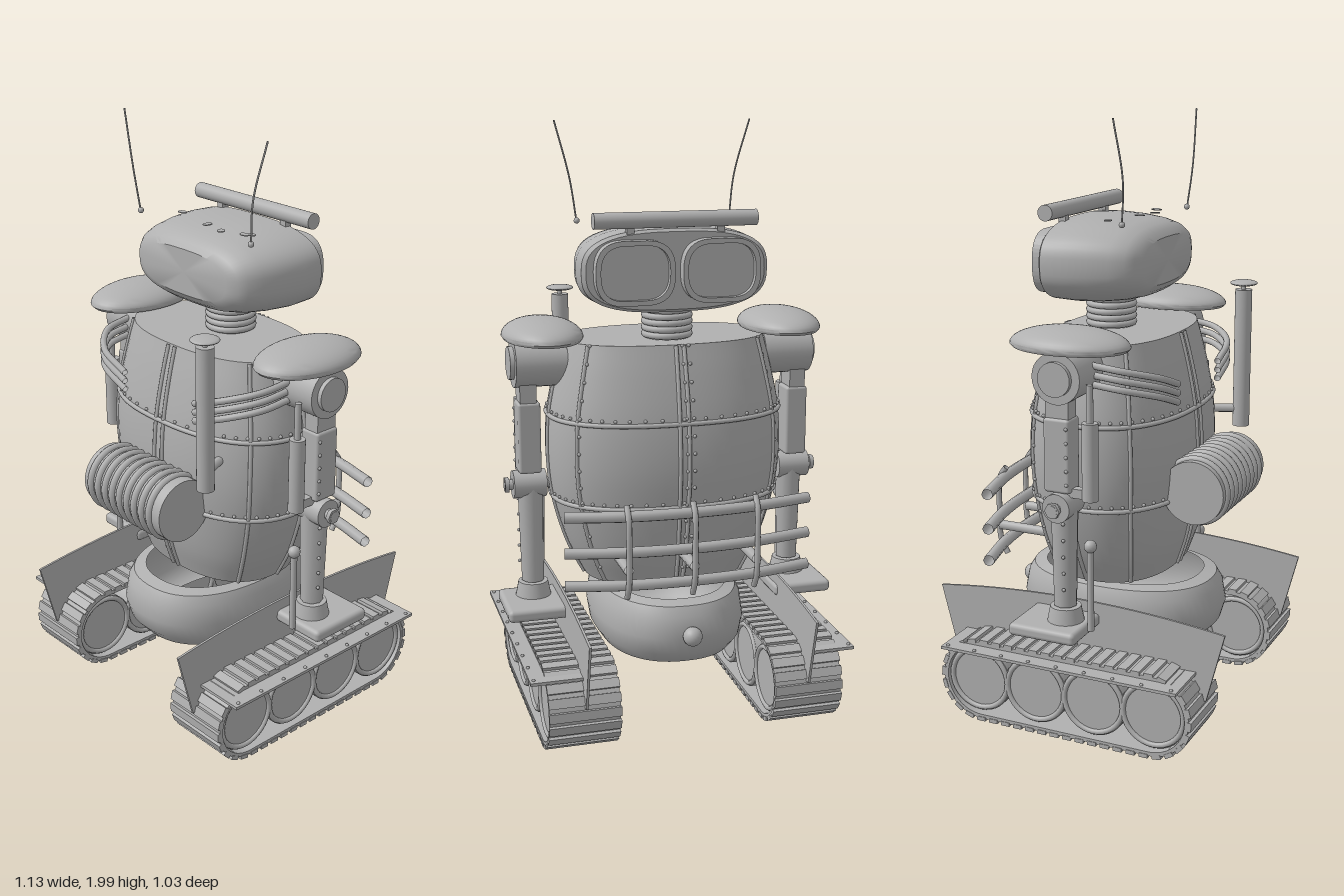
import * as THREE from 'three';
import { toCreasedNormals, mergeGeometries } from 'three/addons/utils/BufferGeometryUtils.js';
import { RoundedBoxGeometry } from 'three/addons/geometries/RoundedBoxGeometry.js';

const V = (x, y, z) => new THREE.Vector3(x, y, z);
const power = (c, n) => Math.sign(c) * Math.abs(c) ** (2 / n);

// Skin through superellipse sections [w, a, b]; put(u, v, w) places each point
function loft(sections, n, put, capped = true, seg = 56) {
  const pos = [], index = [];
  for (const [w, a, b] of sections)
    for (let j = 0; j < seg; j++) {
      const t = (j / seg) * Math.PI * 2;
      pos.push(...put(a * power(Math.cos(t), n), b * power(Math.sin(t), n), w));
    }
  const last = sections.length - 1, c0 = sections.length * seg;
  pos.push(...put(0, 0, sections[0][0]), ...put(0, 0, sections[last][0]));
  for (let j = 0; j < seg; j++) {
    const k = (j + 1) % seg;
    for (let i = 0; i < last; i++) {
      const a = i * seg + j, b = i * seg + k;
      index.push(a, b, a + seg, b, b + seg, a + seg);
    }
    if (capped) index.push(c0, k, j, c0 + 1, last * seg + j, last * seg + k);
  }
  const g = new THREE.BufferGeometry();
  g.setAttribute('position', new THREE.Float32BufferAttribute(pos, 3));
  g.setIndex(index);
  return toCreasedNormals(g, 0.6);
}

export function createModel() {
  const root = new THREE.Group();
  root.name = 'trackedRobot';
  const metal = new THREE.MeshStandardMaterial({ color: 0xb0b0b0, side: THREE.DoubleSide });
  metal.name = 'grey metal';

  const add = (name, geo, x = 0, y = 0, z = 0, parent = root) => {
    const m = new THREE.Mesh(geo, metal);
    m.name = name;
    m.position.set(x, y, z);
    parent.add(m);
    return m;
  };
  const box = (w, h, d) => new THREE.BoxGeometry(w, h, d);
  const cyl = (r1, r2, h, s = 24) => new THREE.CylinderGeometry(r1, r2, h, s);
  const cylX = (r, w, s = 28) => cyl(r, r, w, s).rotateZ(Math.PI / 2);
  const tube = (pts, r, closed = false, seg = 32) =>
    new THREE.TubeGeometry(new THREE.CatmullRomCurve3(pts, closed), seg, r, 8, closed);
  const rod = (a, b, r) => tube([a, b], r, false, 1);

  // Barrel body: profile points are (height, half depth, half width)
  const profile = new THREE.CatmullRomCurve3([V(0.49, 0.2, 0.28), V(0.6, 0.235, 0.335), V(0.77, 0.262, 0.385),
    V(0.9, 0.272, 0.4), V(1.05, 0.262, 0.395), V(1.2, 0.232, 0.365), V(1.3, 0.205, 0.34)]).getPoints(24);
  const upright = (u, v, w) => [v, w, u];
  add('barrelBody', loft(profile.map(p => [p.x, p.y, p.z]), 2.4, upright));
  const onBody = (y, t, out = 0) => {
    let i = 1;
    while (i < profile.length - 1 && profile[i].x < y) i++;
    const a = profile[i - 1], p = a.clone().lerp(profile[i], (y - a.x) / (profile[i].x - a.x));
    return V((p.z + out) * power(Math.sin(t), 2.4), y, (p.y + out) * power(Math.cos(t), 2.4));
  };

  // Raised seams and rivets
  const rivets = [];
  const rivet = (p, r = 0.006) => rivets.push(new THREE.IcosahedronGeometry(r, 1).translate(p.x, p.y, p.z));
  for (const y of [0.77, 1.05]) {
    const ring = [];
    for (let i = 0; i < 48; i++) {
      const t = (i / 48) * Math.PI * 2;
      ring.push(onBody(y, t, 0.001));
      rivet(onBody(y + 0.015, t, 0.002));
    }
    add('hoopSeam', tube(ring, 0.008, true, 120));
  }
  for (const t of [-0.025, 0.025, 0.95, 1.6, 2.2, Math.PI - 0.02, Math.PI + 0.02, -0.95, -1.6, -2.2]) {
    const line = [];
    for (let i = 0; i <= 14; i++) {
      line.push(onBody(0.492 + i * 0.0575, t, 0.001));
      if (Math.abs(t) > 2) rivet(onBody(0.492 + i * 0.0575, t + 0.03, 0.002));
    }
    add('staveSeam', tube(line, 0.007));
  }

  // Hip bowl, open above and below, with lamp knob
  add('hipBowl', loft([[0.238, 0.27, 0.195], [0.25, 0.305, 0.222], [0.29, 0.34, 0.248], [0.35, 0.358, 0.257],
    [0.42, 0.345, 0.247], [0.452, 0.325, 0.232], [0.462, 0.28, 0.2]], 2.3, upright, false));
  add('lampKnob', new THREE.SphereGeometry(0.032, 20, 14), 0, 0.36, -0.365);

  // Neck rings
  add('neck', cyl(0.07, 0.075, 0.13), 0, 1.355, -0.05);
  for (let i = 0; i < 5; i++)
    add('neckRing', new THREE.TorusGeometry(0.075, 0.011, 8, 32).rotateX(Math.PI / 2), 0, 1.312 + i * 0.021, -0.05);

  // Head with paired rounded eyes
  const head = new THREE.Group();
  head.name = 'head';
  head.position.y = 1.533;
  root.add(head);
  add('headShell', loft([[-0.165, 0.297, 0.125], [-0.155, 0.31, 0.134], [-0.08, 0.312, 0.137], [0, 0.3, 0.133],
    [0.07, 0.282, 0.124], [0.115, 0.262, 0.112], [0.14, 0.24, 0.095], [0.155, 0.2, 0.075]], 2.8,
    (u, v, w) => [u, v, w]), 0, 0, 0, head);
  const square = (hw, hh, r, shape) => {
    shape.moveTo(-hw + r, -hh).lineTo(hw - r, -hh).quadraticCurveTo(hw, -hh, hw, -hh + r);
    shape.lineTo(hw, hh - r).quadraticCurveTo(hw, hh, hw - r, hh).lineTo(-hw + r, hh);
    shape.quadraticCurveTo(-hw, hh, -hw, hh - r).lineTo(-hw, -hh + r).quadraticCurveTo(-hw, -hh, -hw + r, -hh);
    return shape;
  };
  for (const s of [-1, 1]) {
    const rim = square(0.13, 0.103, 0.095, new THREE.Shape());
    rim.holes.push(square(0.113, 0.087, 0.08, new THREE.Path()));
    add('eyeRim', new THREE.ExtrudeGeometry(rim, { depth: 0.045, bevelEnabled: false }), s * 0.143, 0, -0.202, head);
    add('eyeLens', new THREE.ExtrudeGeometry(square(0.115, 0.089, 0.08, new THREE.Shape()),
      { depth: 0.02, bevelEnabled: false }), s * 0.143, 0, -0.183, head);
    add('antennaBase', new THREE.SphereGeometry(0.01, 12, 8), s * 0.265, 0.14, 0.11, head);
    add('antenna', tube([V(s * 0.265, 0.135, 0.11), V(s * 0.285, 0.28, 0.122), V(s * 0.335, 0.465, 0.113)], 0.003), 0, 0, 0, head);
    add('browMount', box(0.025, 0.06, 0.025), s * 0.15, 0.125, -0.15, head);
  }
  add('browBar', cylX(0.026, 0.54), 0, 0.163, -0.155, head);

  // Fallen leaves on the head
  for (const [x, z] of [[-0.165, 0.015], [0, 0.052], [0.085, 0.07], [0.165, 0.045], [0.18, 0.03]])
    add('leaf', cyl(0.018, 0.018, 0.003, 8).scale(0.7, 1, 1).rotateY(x * 9), x, 0.137, z, head);

  // Engine drum with rounded cooling ribs
  add('engineDrum', cylX(0.106, 0.39, 36), 0, 0.812, 0.327);
  for (let i = 0; i < 9; i++)
    add('coolingRib', new THREE.TorusGeometry(0.105, 0.013, 8, 40).rotateY(Math.PI / 2), -0.16 + i * 0.038, 0.812, 0.327);
  add('engineMount', box(0.2, 0.12, 0.1), 0, 0.81, 0.25);

  // Exhaust stack
  add('exhaustPipe', cyl(0.029, 0.029, 0.48), 0.285, 1.16, 0.315);
  add('exhaustCap', new THREE.SphereGeometry(0.047, 24, 12).scale(1, 0.22, 1), 0.285, 1.422, 0.315);
  add('exhaustStem', cyl(0.008, 0.008, 0.05), 0.285, 1.405, 0.315);
  add('exhaustBracket', rod(V(0.24, 0.98, 0.2), V(0.285, 0.98, 0.315), 0.015));

  // Guard bars on the eye side
  for (const y of [0.555, 0.665, 0.785])
    add('guardBar', tube([V(-0.41, y, -0.31), V(-0.215, y, -0.352), V(0, y, -0.366), V(0.215, y, -0.352), V(0.41, y, -0.31)], 0.019));
  for (const x of [-0.215, 0, 0.215]) {
    const z = x ? -0.372 : -0.386;
    add('guardStrap', tube([V(x, 0.51, z + 0.025), V(x, 0.56, z), V(x, 0.665, z - 0.004), V(x, 0.78, z), V(x, 0.82, z + 0.025)], 0.01));
    add('guardBracket', rod(V(x, 0.61, -0.18), V(x, 0.61, z), 0.017));
  }

  const domePoints = [new THREE.Vector2(0, -0.012), new THREE.Vector2(0.95, -0.01)];
  for (let i = 0; i <= 12; i++) {
    const t = (i / 12) * Math.PI / 2;
    domePoints.push(new THREE.Vector2(Math.cos(t), 0.06 * Math.sin(t)));
  }
  const fender = new THREE.Shape();
  fender.moveTo(-0.455, 0.19).lineTo(0.455, 0.19).lineTo(0.515, 0.425).quadraticCurveTo(0, 0.497, -0.515, 0.425);

  for (const s of [-1, 1]) {
    const arm = new THREE.Group();
    arm.name = s > 0 ? 'leftArm' : 'rightArm';
    root.add(arm);
    const part = (name, g, x, y, z) => add(name, g, s * x, y, z, arm);

    // Shoulder
    part('shoulderPad', toCreasedNormals(new THREE.LatheGeometry(domePoints, 40).scale(0.132, 1, 0.2), 0.9), 0.41, 1.315, 0);
    part('shoulderDrum', cylX(0.082, 0.17), 0.425, 1.228, 0);
    part('shoulderCap', cylX(0.055, 0.02), 0.515, 1.228, 0);
    part('padPost', cyl(0.03, 0.03, 0.06), 0.42, 1.295, 0);

    // Upper arm, elbow and forearm
    part('upperArmSleeve', box(0.055, 0.12, 0.08), 0.468, 1.13, -0.005);
    part('upperArm', new RoundedBoxGeometry(0.076, 0.24, 0.09, 2, 0.01), 0.466, 0.98, -0.005);
    part('elbow', cylX(0.047, 0.11), 0.465, 0.815, 0);
    part('elbowBolt', cylX(0.018, 0.18, 12), 0.458, 0.815, 0);
    part('elbowNut', cylX(0.026, 0.014, 6), 0.54, 0.815, 0);
    part('forearm', cyl(0.046, 0.038, 0.34, 8), 0.458, 0.645, 0);
    part('wrist', cyl(0.028, 0.028, 0.08), 0.458, 0.48, 0);
    part('ankleCollar', cyl(0.05, 0.06, 0.05), 0.458, 0.447, 0);
    part('footPlate', new RoundedBoxGeometry(0.205, 0.042, 0.235, 2, 0.015), 0.465, 0.402, -0.037);
    for (let i = 0; i < 5; i++) {
      rivet(V(s * 0.5, 0.54 + i * 0.055, 0.015));
      rivet(V(s * 0.504, 0.89 + i * 0.045, 0.03));
    }

    // Side pistons
    part('upperPiston', cyl(0.026, 0.026, 0.25), 0.468, 0.965, 0.095);
    part('upperPistonRod', cyl(0.011, 0.011, 0.14), 0.468, 1.14, 0.095);
    part('pistonBridge', box(0.03, 0.03, 0.11), 0.468, 0.86, 0.05);
    part('lowerPistonRod', cyl(0.011, 0.011, 0.3), 0.46, 0.55, 0.09);
    part('pistonBall', new THREE.SphereGeometry(0.021, 14, 10), 0.46, 0.685, 0.09);

    // Hoses from shoulder to body
    for (let i = 0; i < 3; i++) {
      const d = i * 0.03;
      part('hose', tube([V(s * 0.4, 1.255 - d, 0.06), V(s * 0.385, 1.24 - d, 0.17), V(s * 0.3, 1.21 - d, 0.252),
        V(s * 0.175, 1.165 - d, 0.265)], 0.0115), 0, 0, 0);
    }

    // Crawler track: band, slats and four wheels
    const track = new THREE.Group();
    track.name = s > 0 ? 'leftTrack' : 'rightTrack';
    track.position.set(s * 0.378, 0.16, 0);
    root.add(track);
    const loop = (r, shape) => {
      shape.moveTo(-0.305, -r).lineTo(0.305, -r).absarc(0.305, 0, r, -Math.PI / 2, Math.PI / 2, false);
      shape.lineTo(-0.305, r).absarc(-0.305, 0, r, Math.PI / 2, Math.PI * 1.5, false);
      return shape;
    };
    const band = loop(0.138, new THREE.Shape());
    band.holes.push(loop(0.124, new THREE.Path()));
    const bandGeo = new THREE.ExtrudeGeometry(band, { depth: 0.232, bevelEnabled: false, curveSegments: 16 });
    add('trackBand', bandGeo.translate(0, 0, -0.116).rotateY(Math.PI / 2), 0, 0, 0, track);
    const path = loop(0.14, new THREE.Path()), count = 46, slats = [];
    for (let i = 0; i < count; i++) {
      const p = path.getPointAt(i / count), q = path.getTangentAt(i / count);
      slats.push(box(0.236, 0.014, 0.031).rotateX(-Math.atan2(q.y, q.x)).translate(0, p.y, p.x));
    }
    add('trackSlats', mergeGeometries(slats), 0, 0, 0, track);
    for (const z of [-0.315, -0.105, 0.105, 0.315]) {
      add('wheel', cylX(0.115, 0.2, 36), 0, 0, z, track);
      for (const e of [-1, 1])
        add('wheelRim', new THREE.TorusGeometry(0.104, 0.009, 8, 36).rotateY(Math.PI / 2), e * 0.1, 0, z, track);
    }

    // Upright fender and side ledge
    add('fender', new THREE.ExtrudeGeometry(fender, { depth: 0.008, bevelEnabled: false, curveSegments: 20 })
      .translate(0, 0, -0.004).rotateY(Math.PI / 2), s * 0.375, 0, 0);
    add('sideLedge', box(0.17, 0.01, 0.84), s * 0.463, 0.28, 0);
    for (let i = 0; i < 9; i++) rivet(V(s * 0.535, 0.286, -0.4 + i * 0.1));
  }
  add('rivets', mergeGeometries(rivets));
  return root;
}
